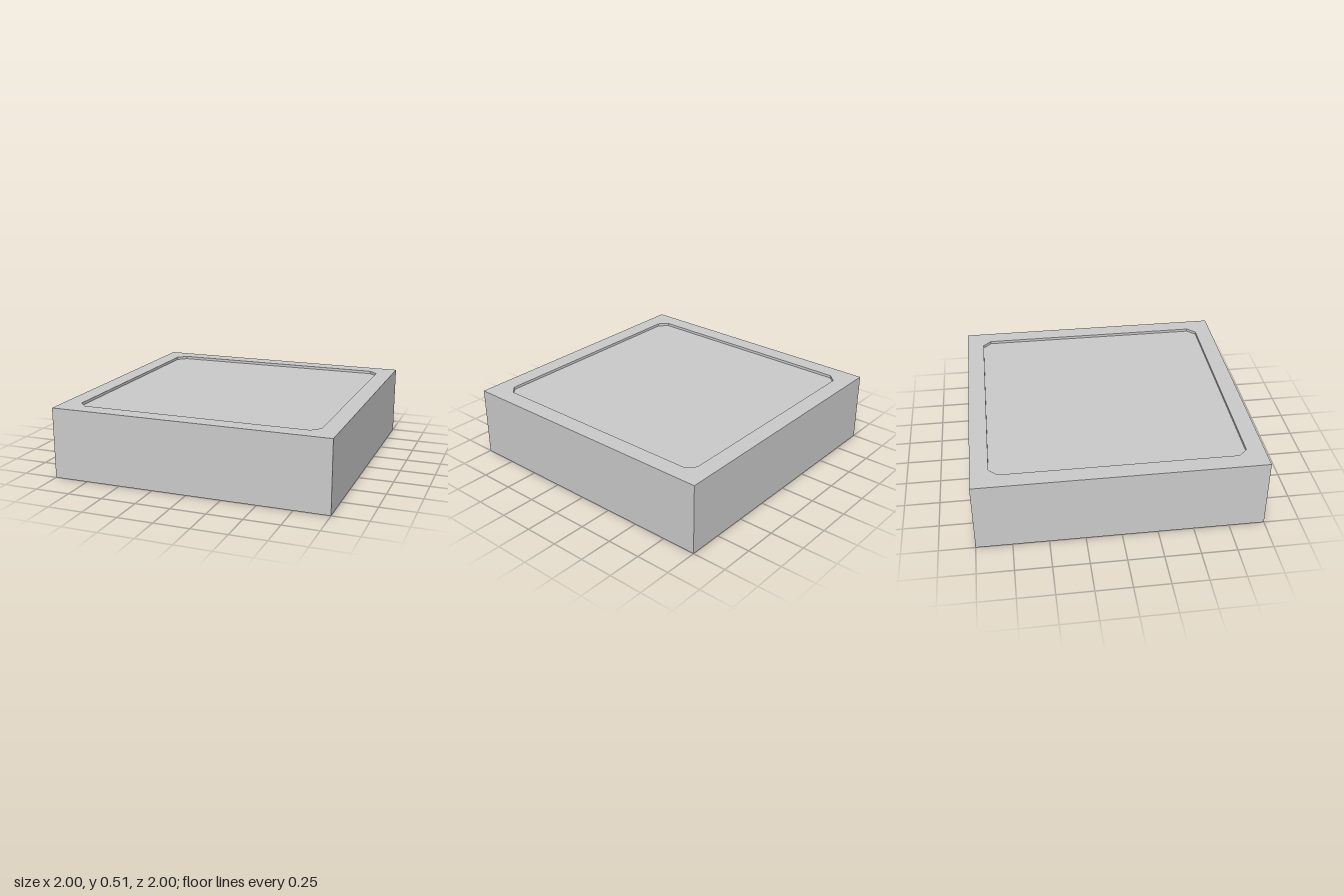
import * as THREE from 'three';

const HEIGHT = 0.51, RECESS = 0.02, INNER = 0.875, CHAMFER = 0.06;

// Eight points of a square with chamfered corners, counter-clockwise from above
function squareLoop(half, chamfer, y) {
  const points = [];
  let corner = [[half, chamfer - half], [half - chamfer, -half]];
  for (let k = 0; k < 4; k++) {
    for (const [x, z] of corner) points.push(new THREE.Vector3(x, y, z));
    corner = corner.map(([x, z]) => [z, -x]);
  }
  return points;
}

// Skin consecutive loops with flat faces, skipping collapsed triangles
function loft(loops) {
  const vertices = [];
  const addTriangle = (a, b, c) => {
    if (new THREE.Triangle(a, b, c).getArea() > 1e-7) vertices.push(a, b, c);
  };
  for (let i = 0; i < loops.length - 1; i++) {
    const low = loops[i], high = loops[i + 1];
    for (let j = 0; j < low.length; j++) {
      const n = (j + 1) % low.length;
      addTriangle(low[j], low[n], high[n]);
      addTriangle(low[j], high[n], high[j]);
    }
  }
  const geometry = new THREE.BufferGeometry().setFromPoints(vertices);
  geometry.computeVertexNormals();
  return geometry;
}

export function createModel() {
  const group = new THREE.Group();
  group.name = 'recessedSlab';

  // Solid block: underside, sides, top rim, recess wall, recess floor
  const slab = new THREE.Mesh(
    loft([
      squareLoop(0, 0, 0),
      squareLoop(1, 0, 0),
      squareLoop(1, 0, HEIGHT),
      squareLoop(INNER, CHAMFER, HEIGHT),
      squareLoop(INNER, CHAMFER, HEIGHT - RECESS),
      squareLoop(0, 0, HEIGHT - RECESS),
    ]),
    new THREE.MeshStandardMaterial({ color: 0xcccccc, flatShading: true })
  );
  slab.name = 'slab';
  group.add(slab);
  return group;
}
